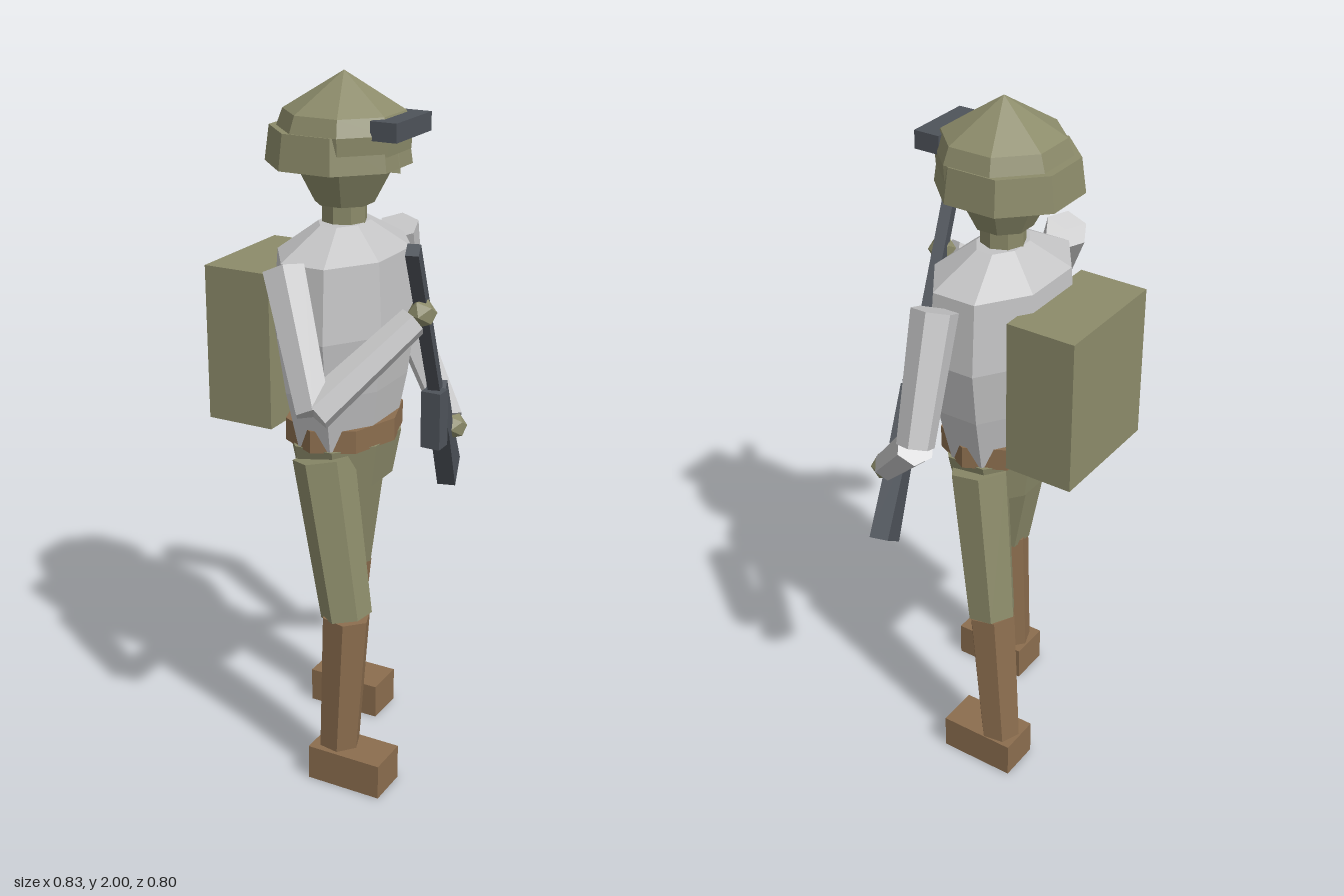
import * as THREE from 'three';

const paint = (name, color) => {
  const m = new THREE.MeshStandardMaterial({ color, flatShading: true });
  m.name = name;
  return m;
};

export function createModel() {
  const olive = paint('olive cloth', 0x8c8b6a);
  const grey = paint('light grey shirt', 0xc3c3c4);
  const brown = paint('brown leather', 0x8b6d4e);
  const metal = paint('dark gunmetal', 0x4e535a);

  const model = new THREE.Group();
  const V = (p) => new THREE.Vector3(...p);

  const add = (parent, name, geometry, material, pos = [0, 0, 0]) => {
    const mesh = new THREE.Mesh(geometry, material);
    mesh.name = name;
    mesh.position.set(...pos);
    parent.add(mesh);
    return mesh;
  };

  // Eight-sided form from [radius, height] pairs, bottom to top
  const turned = (profile, start = Math.PI / 8) =>
    new THREE.LatheGeometry(profile.map(([r, y]) => new THREE.Vector2(r, y)), 8, start);

  // Six-sided tapered limb between two points
  const limb = (name, a, b, ra, rb, material) => {
    const from = V(a), to = V(b), dir = to.clone().sub(from);
    const mesh = add(model, name, new THREE.CylinderGeometry(rb, ra, dir.length(), 6), material);
    mesh.position.copy(from).add(to).multiplyScalar(0.5);
    mesh.quaternion.setFromUnitVectors(new THREE.Vector3(0, 1, 0), dir.normalize());
    return mesh;
  };

  // Trunk and head, turned slightly to the figure's left
  const turn = Math.PI / 9;
  const body = new THREE.Group();
  body.name = 'body';
  body.position.set(-0.035, 0, -0.02);
  body.rotation.y = turn;
  model.add(body);

  add(body, 'torso', turned([[0, 1.005], [0.19, 1.005], [0.235, 1.17], [0.265, 1.33], [0.245, 1.53], [0.095, 1.605], [0, 1.605]]), grey)
    .scale.z = 0.68;
  add(body, 'belt', turned([[0, 1.0], [0.197, 1.0], [0.197, 1.065], [0, 1.065]], 0), brown).scale.z = 0.79;
  add(body, 'pelvis', turned([[0, 0.875], [0.165, 0.875], [0.195, 1.005], [0, 1.005]]), olive).scale.z = 0.77;
  add(body, 'backpack', new THREE.BoxGeometry(0.362, 0.44, 0.2), olive, [0, 1.26, -0.232]);
  add(body, 'beltPouch', new THREE.BoxGeometry(0.052, 0.165, 0.058), metal, [0.07, 1.057, 0.243]);

  add(body, 'neck', new THREE.CylinderGeometry(0.062, 0.062, 0.1, 8), olive, [0, 1.63, 0]);
  add(body, 'head', turned([[0, 1.65], [0.08, 1.655], [0.135, 1.76], [0.14, 1.84], [0, 1.86]]), olive);
  add(body, 'nose', new THREE.ConeGeometry(0.024, 0.055, 5), olive, [0, 1.78, 0.152]).rotation.x = 0.3;
  add(body, 'helmetCrown', turned([[0, 1.8], [0.176, 1.8], [0.18, 1.855], [0.163, 1.9], [0, 2.0]]), olive);
  add(body, 'helmetBrim', turned([[0, 1.76], [0.197, 1.76], [0.184, 1.855], [0, 1.855]]), olive, [0, 0, -0.018]);
  add(body, 'goggles', new THREE.BoxGeometry(0.2, 0.05, 0.075), metal, [0, 1.87, 0.167]);

  // Legs in mid stride, right one leading
  const legs = {
    right: { hip: [-0.167, 0.975, 0.04], knee: [-0.163, 0.52, 0.13], ankle: [-0.178, 0.09, 0.115], foot: [-0.167, 0.0525, 0.1625] },
    left: { hip: [0.088, 0.975, -0.083], knee: [0.1, 0.52, -0.158], ankle: [0.105, 0.09, -0.21], foot: [0.1175, 0.0525, -0.1625] },
  };
  for (const [side, p] of Object.entries(legs)) {
    limb(side + 'Thigh', p.hip, p.knee, 0.086, 0.072, olive).rotateY(turn);
    limb(side + 'BootShaft', p.knee, p.ankle, 0.071, 0.06, brown).rotateY(turn);
    add(model, side + 'BootFoot', new THREE.BoxGeometry(0.124, 0.105, 0.226), brown, p.foot).rotation.y = turn;
  }

  // Arms holding the rifle
  const arms = {
    right: { shoulder: [-0.305, 1.53, 0.055], elbow: [-0.375, 1.215, 0.25], wrist: [-0.1, 1.415, 0.318], hand: [-0.075, 1.432, 0.325] },
    left: { shoulder: [0.243, 1.525, -0.11], elbow: [0.358, 1.2, -0.18], wrist: [0.288, 0.975, 0.07], hand: [0.285, 0.962, 0.092] },
  };
  for (const [side, p] of Object.entries(arms)) {
    limb(side + 'UpperArm', p.shoulder, p.elbow, 0.062, 0.05, grey);
    limb(side + 'Forearm', p.elbow, p.wrist, 0.052, 0.042, grey);
    add(model, side + 'Hand', new THREE.IcosahedronGeometry(0.04, 0), olive, p.hand);
  }

  // Rifle, laid out along its own x axis from muzzle to butt
  const rifle = new THREE.Group();
  rifle.name = 'rifle';
  const muzzle = V([-0.162, 1.625, 0.38]);
  const along = V([0.345, 0.78, 0.015]).sub(muzzle);
  const length = along.length();
  along.normalize();
  const lateral = new THREE.Vector3(-along.z, 0, along.x).normalize();
  const height = lateral.clone().cross(along);
  rifle.quaternion.setFromRotationMatrix(new THREE.Matrix4().makeBasis(along, height, lateral));
  rifle.position.copy(muzzle);
  model.add(rifle);

  add(rifle, 'barrel', new THREE.BoxGeometry(0.68, 0.038, 0.034), metal, [0.34, 0, 0]);
  add(rifle, 'receiver', new THREE.BoxGeometry(0.17, 0.07, 0.055), metal, [0.7, 0, 0]);
  const stock = new THREE.Shape([[0.77, -0.028], [length, -0.05], [length, 0.05], [0.77, 0.028]].map((p) => new THREE.Vector2(...p)));
  add(rifle, 'stock', new THREE.ExtrudeGeometry(stock, { depth: 0.054, bevelEnabled: false }), metal, [0, 0, -0.027]);

  return model;
}
